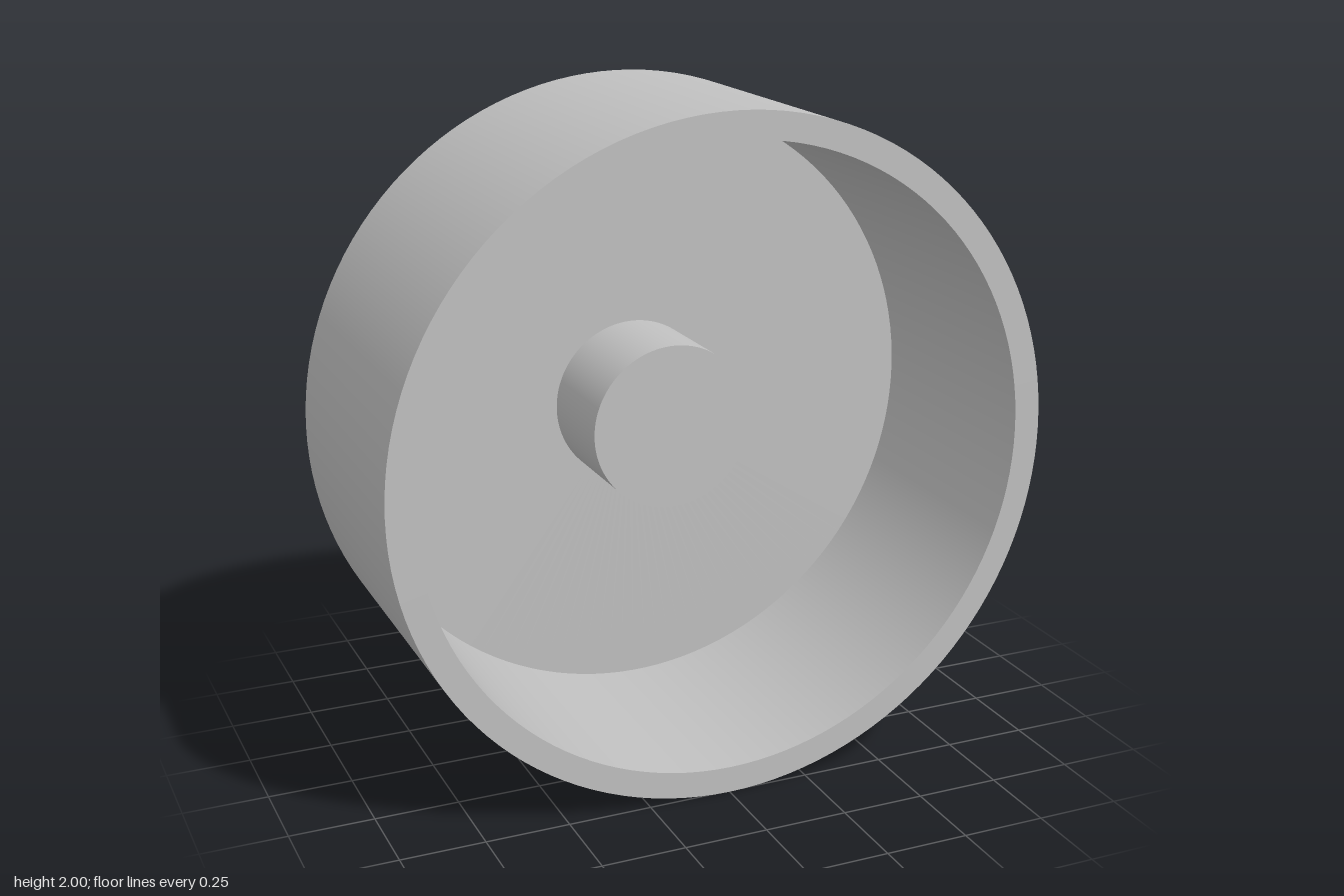
import * as THREE from 'three';
import { mergeGeometries } from 'three/addons/utils/BufferGeometryUtils.js';

const SEGMENTS = 128;

// Turns a [radius, z] profile about the z axis; each profile segment keeps sharp ends.
function turned(name, profile, material) {
  const bands = [];
  for (let i = 0; i < profile.length - 1; i++) {
    const pair = [profile[i], profile[i + 1]].map(([r, z]) => new THREE.Vector2(r, z));
    bands.push(new THREE.LatheGeometry(pair, SEGMENTS));
  }
  const geometry = mergeGeometries(bands);
  geometry.rotateX(Math.PI / 2);
  const mesh = new THREE.Mesh(geometry, material);
  mesh.name = name;
  return mesh;
}

export function createModel() {
  const grey = new THREE.MeshStandardMaterial({ color: 0xc0c0c0 });
  grey.name = 'plain grey';

  const rimZ = 0.505, floorZ = -0.23, backZ = -0.345, flangeZ = -0.485, collarZ = -0.505;
  const pinZ = 0.085, boreEndZ = 0;

  const wheel = new THREE.Group();
  wheel.name = 'wheel';
  wheel.add(
    // Open-fronted cup: back face, outer wall, rim, inner wall, floor
    turned('drum', [[0.4, backZ], [1, backZ], [1, rimZ], [0.92, rimZ], [0.92, floorZ], [0.25, floorZ]], grey),
    // Raised disc on the back
    turned('backFlange', [[0.19, flangeZ], [0.4, flangeZ], [0.4, backZ]], grey),
    // Thin lip around the shaft hole
    turned('boreCollar', [[0.15, collarZ], [0.19, collarZ], [0.19, flangeZ]], grey),
    // Blind shaft hole, open at the back
    turned('shaftBore', [[0, boreEndZ], [0.15, boreEndZ], [0.15, collarZ]], grey),
    // Closed hub inside the cup
    turned('hub', [[0.25, floorZ], [0.25, pinZ], [0, pinZ]], grey),
  );
  wheel.position.y = 1;

  const model = new THREE.Group();
  model.name = 'wheelModel';
  model.add(wheel);
  return model;
}
